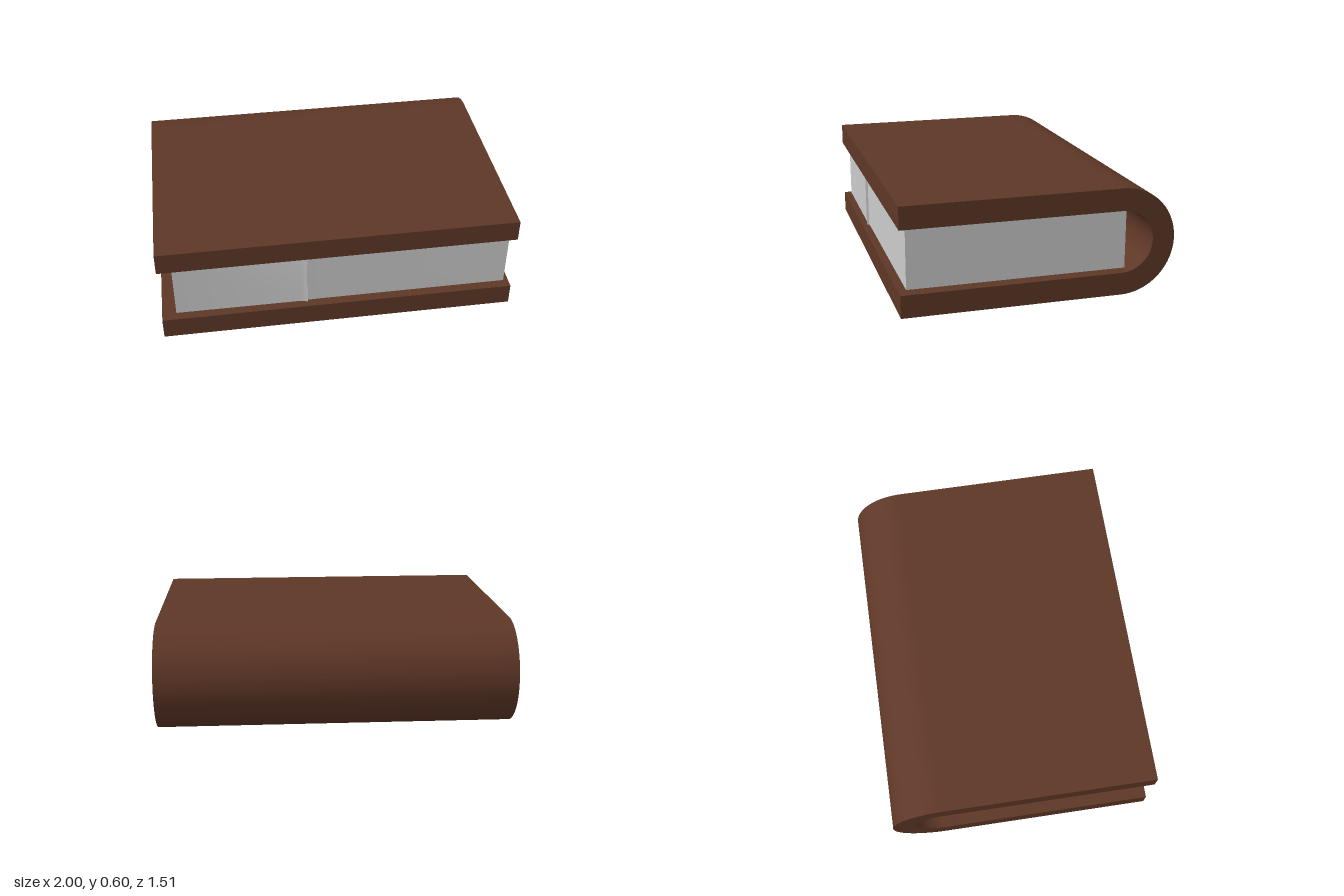
import * as THREE from 'three';
import { toCreasedNormals } from 'three/addons/utils/BufferGeometryUtils.js';

function extrude(shape, depth) {
  return new THREE.ExtrudeGeometry(shape, { depth, bevelEnabled: false, curveSegments: 32 });
}

export function createModel() {
  const book = new THREE.Group();
  book.name = 'book';

  // Cover: U-shaped section (shape x is -z) swept across the full width
  const midY = 0.3, outerR = 0.3, innerR = 0.175, open = -0.757, spine = 0.457;
  const section = new THREE.Shape();
  section.moveTo(open, 0);
  section.lineTo(spine, 0);
  section.absarc(spine, midY, outerR, -Math.PI / 2, Math.PI / 2, false);
  section.lineTo(open, midY + outerR);
  section.lineTo(open, midY + innerR);
  section.lineTo(spine, midY + innerR);
  section.absarc(spine, midY, innerR, Math.PI / 2, -Math.PI / 2, true);
  section.lineTo(open, midY - innerR);
  section.closePath();
  const coverGeo = extrude(section, 2);
  coverGeo.translate(0, 0, -1);
  coverGeo.rotateY(Math.PI / 2);
  const cover = new THREE.Mesh(
    toCreasedNormals(coverGeo, 0.6),
    new THREE.MeshStandardMaterial({ color: 0x5e3727 })
  );
  cover.name = 'cover';
  book.add(cover);

  // Page block: plan outline (x, z) with a small step on the fore edge
  const outline = [
    [-0.92, -0.487], [0.965, -0.487], [0.965, 0.72], [-0.12, 0.72],
    [-0.177, 0.722], [-0.18, 0.735], [-0.215, 0.725], [-0.92, 0.722],
  ];
  const plan = new THREE.Shape(outline.map(([x, z]) => new THREE.Vector2(x, -z)));
  const pagesGeo = extrude(plan, 0.337);
  pagesGeo.rotateX(-Math.PI / 2);
  pagesGeo.translate(0, 0.141, 0);
  const pages = new THREE.Mesh(
    toCreasedNormals(pagesGeo, 0.6),
    new THREE.MeshStandardMaterial({ color: 0xcccccc })
  );
  pages.name = 'pages';
  book.add(pages);

  return book;
}
